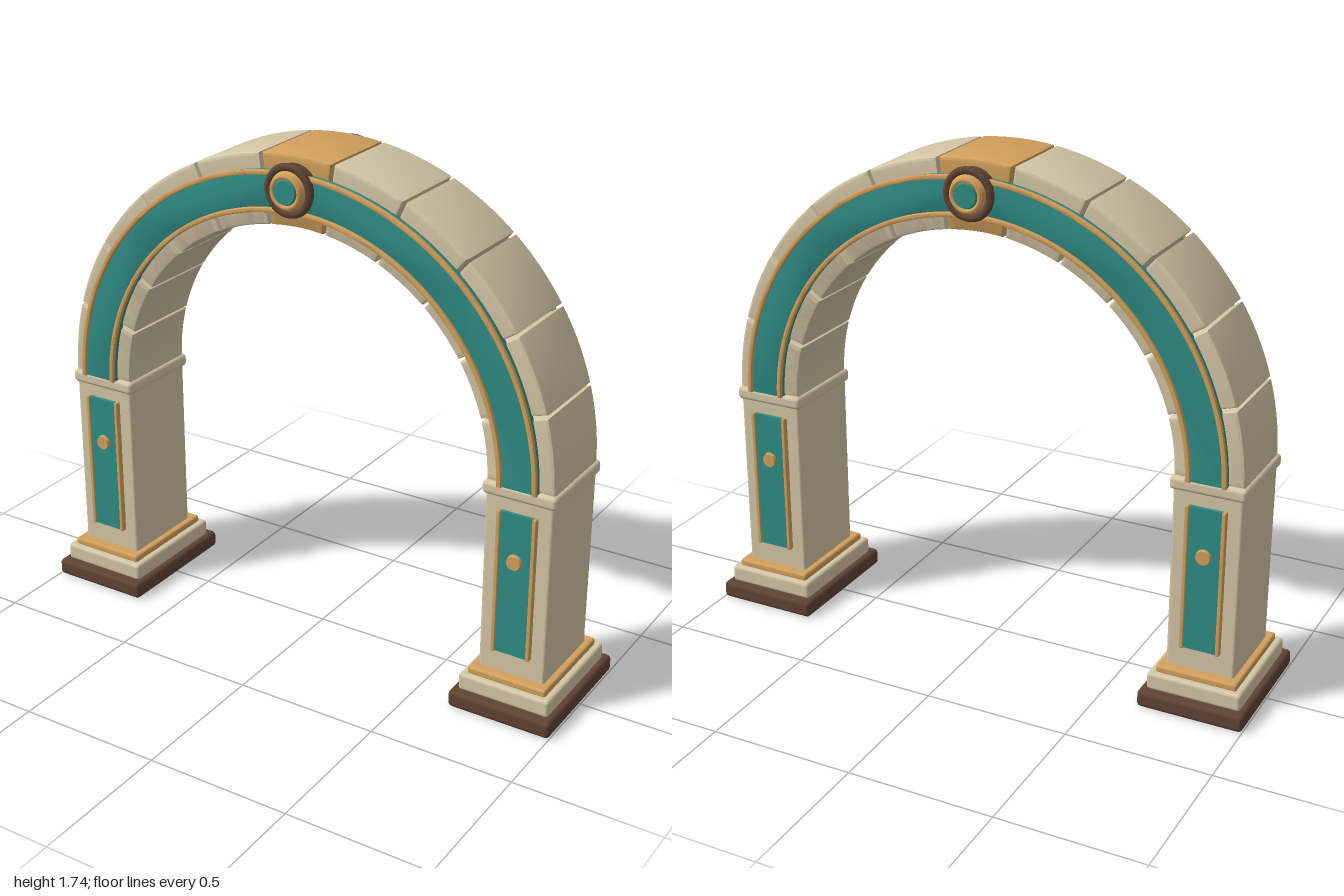
import * as THREE from 'three';
import { toCreasedNormals } from 'three/addons/utils/BufferGeometryUtils.js';
import { RoundedBoxGeometry } from 'three/addons/geometries/RoundedBoxGeometry.js';

const material = (name, color) => new THREE.MeshStandardMaterial({ name, color });

const SPRING_Y = 0.805; // centre height of the arch
const LEG_X = 0.8175;   // centre of each leg

export function createModel() {
  const stone = material('stone', 0xd4c6a6);
  const gold = material('gold', 0xd2a05c);
  const teal = material('teal', 0x2f8c85);
  const wood = material('darkWood', 0x5f4333);

  const model = new THREE.Group();
  model.name = 'archway';

  function add(parent, name, geometry, mat, x = 0, y = 0, z = 0) {
    const mesh = new THREE.Mesh(geometry, mat);
    mesh.name = name;
    mesh.position.set(x, y, z);
    parent.add(mesh);
    return mesh;
  }

  // Rounded block spanning y0..y1, centred on x and z
  function block(parent, name, mat, halfX, y0, y1, halfZ, radius) {
    const g = new RoundedBoxGeometry(halfX * 2, y1 - y0, halfZ * 2, 3, radius);
    return add(parent, name, g, mat, 0, (y0 + y1) / 2, 0);
  }

  // Bevelled ring segment between two radii and angles; gap is trimmed off each end
  function ringSegment(r0, r1, a0, a1, z0, z1, bevel, gap, segments) {
    const inner = r0 + bevel, outer = r1 - bevel, trim = gap + bevel;
    const ti = trim / inner, to = trim / outer;
    const shape = new THREE.Shape();
    shape.absarc(0, 0, outer, a0 + to, a1 - to, false);
    shape.absarc(0, 0, inner, a1 - ti, a0 + ti, true);
    shape.closePath();
    const g = new THREE.ExtrudeGeometry(shape, {
      depth: z1 - z0 - bevel * 2, curveSegments: segments,
      bevelEnabled: true, bevelSize: bevel, bevelThickness: bevel, bevelSegments: 2,
    });
    g.translate(0, 0, z0 + bevel);
    return toCreasedNormals(g, 0.6);
  }

  // Legs
  for (const side of [1, -1]) {
    const leg = new THREE.Group();
    leg.name = side > 0 ? 'leftLeg' : 'rightLeg';
    leg.position.x = side * LEG_X;
    model.add(leg);
    block(leg, 'plinth', wood, 0.1825, 0, 0.06, 0.245, 0.015);
    block(leg, 'baseStep', stone, 0.162, 0.055, 0.117, 0.213, 0.012);
    block(leg, 'baseTrim', gold, 0.14, 0.112, 0.14, 0.193, 0.009);
    block(leg, 'shaft', stone, 0.1175, 0.13, 0.785, 0.157, 0.01);
    block(leg, 'capital', stone, 0.128, 0.765, 0.81, 0.168, 0.014);

    // Inlaid panel, edge strips and stud on the front and back
    for (const face of [1, -1]) {
      const panel = new THREE.Group();
      panel.name = face > 0 ? 'frontPanel' : 'backPanel';
      panel.rotation.y = face > 0 ? 0 : Math.PI;
      leg.add(panel);
      add(panel, 'panelInlay', new THREE.BoxGeometry(0.124, 0.505, 0.02), teal, 0, 0.47, 0.16);
      for (const s of [1, -1]) {
        add(panel, 'panelStrip', new RoundedBoxGeometry(0.014, 0.51, 0.022, 2, 0.004), gold, s * 0.062, 0.47, 0.165);
      }
      const stud = new THREE.CylinderGeometry(0.024, 0.03, 0.025, 24).rotateX(Math.PI / 2);
      add(panel, 'stud', stud, gold, 0, 0.557, 0.169);
    }
  }

  // Arch of eleven stones with a gold keystone
  const arch = new THREE.Group();
  arch.name = 'arch';
  arch.position.y = SPRING_Y;
  model.add(arch);
  const count = 11, step = Math.PI / count;
  for (let i = 0; i < count; i++) {
    const key = i === (count - 1) / 2;
    const g = ringSegment(0.7, 0.935, i * step, (i + 1) * step, -0.157, 0.157, 0.01, 0.005, 8);
    add(arch, key ? 'keystone' : 'archStone', g, key ? gold : stone);
  }

  // Band, band edging and medallion on both faces
  for (const face of [1, -1]) {
    const front = new THREE.Group();
    front.name = face > 0 ? 'frontDecoration' : 'backDecoration';
    front.rotation.y = face > 0 ? 0 : Math.PI;
    arch.add(front);
    add(front, 'band', ringSegment(0.752, 0.883, 0, Math.PI, 0.15, 0.176, 0.001, 0.004, 64), teal);
    for (const r of [0.757, 0.878]) {
      add(front, 'bandEdging', ringSegment(r - 0.008, r + 0.008, 0, Math.PI, 0.172, 0.189, 0.004, 0.004, 64), gold);
    }

    const medallion = new THREE.Group();
    medallion.name = 'medallion';
    medallion.position.set(0, 0.832, 0);
    front.add(medallion);
    const disc = (r0, r1, z0, z1) =>
      new THREE.CylinderGeometry(r1, r0, z1 - z0, 40).rotateX(Math.PI / 2).translate(0, 0, (z0 + z1) / 2);
    add(medallion, 'medallionBack', disc(0.08, 0.08, 0.157, 0.2), wood);
    add(medallion, 'medallionRim', new THREE.TorusGeometry(0.076, 0.013, 10, 40), wood, 0, 0, 0.196);
    add(medallion, 'medallionPlate', disc(0.068, 0.058, 0.195, 0.218), gold);
    add(medallion, 'medallionRing', new THREE.TorusGeometry(0.05, 0.008, 8, 40), gold, 0, 0, 0.216);
    add(medallion, 'medallionCentre', disc(0.043, 0.039, 0.215, 0.225), teal);
  }

  return model;
}
